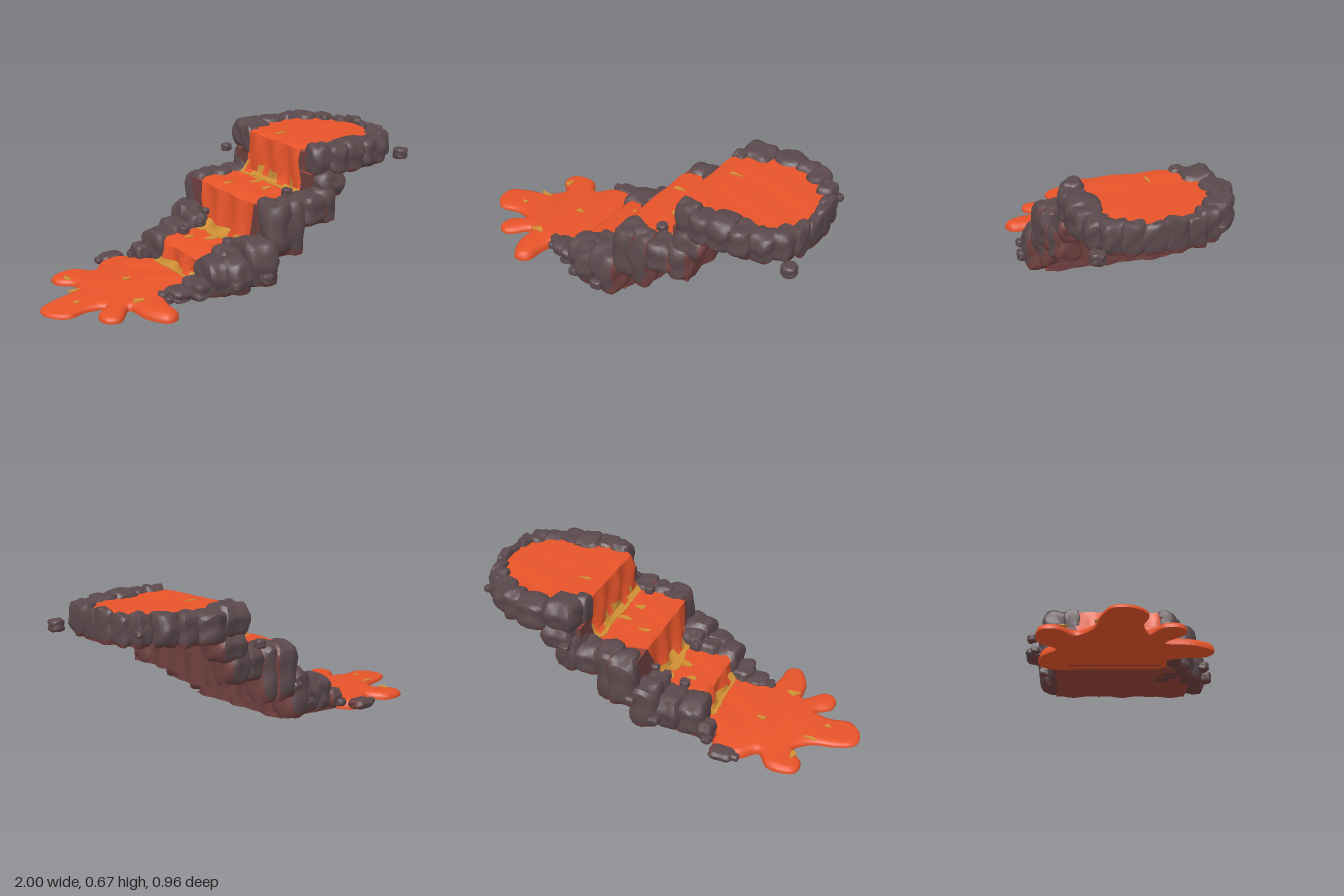
import * as THREE from 'three';
import { mergeVertices, toCreasedNormals } from 'three/addons/utils/BufferGeometryUtils.js';

const mat = (name, color, side = THREE.FrontSide) => {
  const m = new THREE.MeshStandardMaterial({ color, side });
  m.name = name;
  return m;
};

export function createModel() {
  const group = new THREE.Group();
  const lava = mat('lava orange', 0xe8542a);
  const hot = mat('hot yellow', 0xd09034, THREE.DoubleSide);
  const rock = mat('dark rock', 0x5b494c);
  const scorched = mat('scorched rock', 0x704040);
  const ember = mat('ember red', 0x984639);

  let seed = 7;
  const rand = () => (seed = (seed * 16807) % 2147483647) / 2147483647;
  const add = (name, geo, material) => {
    const mesh = new THREE.Mesh(geo, material);
    mesh.name = name;
    group.add(mesh);
    return mesh;
  };
  // Extrude a plan outline of (x, z) points between two heights
  const slab = (points, y0, y1) => {
    const geo = new THREE.ExtrudeGeometry(new THREE.Shape(points), { depth: y1 - y0, bevelEnabled: false });
    return geo.rotateX(Math.PI / 2).translate(0, y1, 0);
  };
  const v2 = (list) => list.map(([x, z]) => new THREE.Vector2(x, z));
  const smoothLoop = (list, n) => new THREE.SplineCurve(v2([...list, list[0]])).getPoints(n).slice(0, -1);

  // Stepped bed under the flow, each tier with a rippled back face and a glowing underside
  const tierPlan = (x0, x1, zn, zp) => {
    const pts = [[x0, zn]];
    for (let i = 0; i <= 24; i++) {
      const z = zn + (zp - zn) * i / 24;
      pts.push([x1 - 0.012 + 0.008 * Math.sin(z * 27 + x1 * 9) + 0.006 * Math.sin(z * 51), z]);
    }
    return v2([...pts, [x0, zp]]);
  };
  [[-0.22, 0.1, 0.038, 0.17, -0.29, 0.33], [0.05, 0.27, 0.155, 0.41, -0.34, 0.36],
    [0.22, 0.48, 0.28, 0.41, -0.34, 0.36], [0.35, 0.5, 0.405, 0.525, -0.33, 0.31]]
    .forEach(([x0, x1, y0, y1, zn, zp]) =>
      add('stepBed', slab(tierPlan(x0, x1, zn, zp), y0, y1), [ember, scorched]));

  // Thin apron ramping from the pool up to the lowest step
  const apron = slab(v2([[-0.4, -0.22], [-0.33, -0.28], [-0.1, -0.29], [0.085, -0.3], [0.085, 0.34], [-0.1, 0.35],
    [-0.33, 0.27], [-0.4, 0.2]]), 0, 0.045);
  const ap = apron.attributes.position;
  for (let i = 0; i < ap.count; i++) if (ap.getY(i) < 0.02) ap.setY(i, 0.001 + 0.08 * (ap.getX(i) + 0.4));
  apron.computeVertexNormals();
  add('footApron', apron, [ember, scorched]);

  // Rounded basin at the top
  const basin = smoothLoop([[0.36, -0.24], [0.45, -0.34], [0.62, -0.38], [0.78, -0.32], [0.89, -0.2], [0.945, -0.05],
    [0.945, 0.08], [0.89, 0.2], [0.78, 0.29], [0.6, 0.31], [0.45, 0.31], [0.36, 0.22]], 60);
  add('basinBed', slab(basin, 0.513, 0.625), [ember, scorched]);

  // Flowing lava: stations of x, y, zMin, zMax from the basin down the falls
  const stations = [
    [0.94, 0.635, -0.04, 0.07], [0.9, 0.637, -0.17, 0.17], [0.8, 0.64, -0.27, 0.25], [0.6, 0.64, -0.32, 0.28],
    [0.45, 0.64, -0.29, 0.28], [0.38, 0.648, -0.23, 0.25], [0.345, 0.638, -0.21, 0.23], [0.333, 0.58, -0.21, 0.24],
    [0.337, 0.48, -0.22, 0.25], [0.327, 0.44, -0.23, 0.26], [0.3, 0.42, -0.24, 0.27], [0.18, 0.42, -0.25, 0.28],
    [0.08, 0.428, -0.23, 0.26], [0.048, 0.412, -0.21, 0.25], [0.035, 0.33, -0.18, 0.24], [0.028, 0.23, -0.16, 0.23],
    [0.0, 0.195, -0.15, 0.22], [-0.1, 0.183, -0.15, 0.21], [-0.215, 0.183, -0.15, 0.21], [-0.245, 0.165, -0.16, 0.21],
    [-0.255, 0.09, -0.17, 0.21], [-0.275, 0.062, -0.19, 0.21], [-0.36, 0.055, -0.27, 0.23], [-0.44, 0.05, -0.3, 0.2]];
  const N = 48, pos = [], cool = [], glow = [];
  stations.forEach(([x, y, zn, zp], i) => {
    for (let j = 0; j <= N; j++) {
      const z = zn + (zp - zn) * j / N;
      const fall = [7, 8, 14, 15, 20].includes(i);
      pos.push(x + (fall ? 0.012 * Math.sin(z * 38 + i * 0.4) : 0), y + 0.003 * Math.sin(z * 30 + i * 2), z);
      if (i === stations.length - 1 || j === N) continue;
      // Broken hot line along the base of each fall
      const wave = Math.sin(z * 23 + i) + Math.sin(z * 47);
      const isHot = ([9, 15, 20].includes(i) && wave > -0.9) || (i === 8 && wave > 0.3);
      const a = i * (N + 1) + j, b = a + N + 1;
      (isHot ? glow : cool).push(a, b, a + 1, b, b + 1, a + 1);
    }
  });
  const flow = new THREE.BufferGeometry();
  flow.setAttribute('position', new THREE.Float32BufferAttribute(pos, 3));
  flow.setIndex([...cool, ...glow]);
  flow.addGroup(0, cool.length, 0);
  flow.addGroup(cool.length, glow.length, 1);
  add('lavaFlow', toCreasedNormals(flow, 0.7), [lava, hot]);

  // Splashed pool at the foot, with thin rounded edges
  const poolTop = (x) => 0.022 + 0.05 * (x + 1);
  const pool = new THREE.ExtrudeGeometry(new THREE.Shape(smoothLoop([[-0.35, -0.15], [-0.34, -0.29], [-0.4, -0.36],
    [-0.5, -0.34], [-0.575, -0.27], [-0.65, -0.35], [-0.77, -0.34], [-0.79, -0.26], [-0.72, -0.18], [-0.79, -0.1],
    [-0.9, -0.07], [-0.99, -0.02], [-0.99, 0.07], [-0.92, 0.135], [-0.82, 0.115], [-0.73, 0.14], [-0.8, 0.2],
    [-0.8, 0.28], [-0.73, 0.3], [-0.64, 0.21], [-0.62, 0.34], [-0.56, 0.435], [-0.49, 0.41], [-0.48, 0.32],
    [-0.45, 0.23], [-0.38, 0.23], [-0.35, 0.15]], 110)),
  { depth: 0.01, bevelThickness: 0.02, bevelSize: 0.03, bevelOffset: -0.03, bevelSegments: 3 });
  pool.rotateX(Math.PI / 2);
  const pp = pool.attributes.position;
  for (let i = 0; i < pp.count; i++) {
    const t = pp.getY(i) / 0.02;
    pp.setY(i, t < -0.25 ? 0.002 : 0.012 + Math.max(t, 0) * (poolTop(pp.getX(i)) - 0.012));
  }
  add('lavaPool', toCreasedNormals(pool, 0.8), lava);

  // Thin irregular glowing patches
  const patch = (x, z, y, rx, rz) => {
    const pts = [], k = 14, ph = rand() * 6;
    for (let i = 0; i < k; i++) {
      const a = i / k * Math.PI * 2, r = 0.9 + 0.2 * Math.sin(3 * a + ph) + 0.25 * (rand() - 0.5);
      pts.push([x + rx * r * Math.cos(a), z + rz * r * Math.sin(a)]);
    }
    add('glowPatch', slab(smoothLoop(pts, 48), y, y + 0.004), hot);
  };
  [[0.315, 0.02, 0.424, 0.025, 0.12], [0.315, 0.14, 0.424, 0.02, 0.07], [0.31, -0.16, 0.424, 0.03, 0.06],
    [0.265, -0.02, 0.424, 0.045, 0.016], [0.12, -0.08, 0.424, 0.035, 0.012], [0.23, 0.1, 0.424, 0.03, 0.018],
    [-0.005, 0.03, 0.199, 0.035, 0.12], [-0.005, 0.15, 0.199, 0.022, 0.05], [-0.05, 0.03, 0.192, 0.045, 0.025],
    [-0.02, -0.1, 0.197, 0.028, 0.04], [-0.275, 0.05, 0.064, 0.014, 0.12], [-0.28, -0.09, 0.064, 0.018, 0.06],
    [-0.13, -0.06, 0.187, 0.03, 0.014], [0.45, -0.07, 0.643, 0.035, 0.008]]
    .forEach((p) => patch(...p));
  [[-0.59, 0.21, 0.035, 0.022], [-0.78, -0.085, 0.035, 0.012], [-0.51, -0.05, 0.025, 0.014], [-0.74, -0.24, 0.014, 0.03],
    [-0.83, 0.04, 0.015, 0.012]]
    .forEach(([x, z, rx, rz]) => patch(x, z, poolTop(x) + 0.001, rx, rz));

  // Blocky boulder: a squared-off sphere with wavy lumps, scorched underneath and past backLimit on its back
  const boulder = (name, backLimit, x, z, y0, y1, rx, rz) => {
    let geo = new THREE.IcosahedronGeometry(1, 4);
    geo.deleteAttribute('normal');
    geo.deleteAttribute('uv');
    geo = mergeVertices(geo, 1e-4);
    const p = geo.attributes.position, v = new THREE.Vector3(), s = rand() * 20;
    for (let i = 0; i < p.count; i++) {
      v.fromBufferAttribute(p, i).normalize();
      const r = (Math.abs(v.x) ** 4 + Math.abs(v.y) ** 5 + Math.abs(v.z) ** 3.5) ** -0.25;
      const lump = 1 + 0.08 * Math.sin(v.x * 5 + s) * Math.cos(v.z * 4 + s * 2) + 0.06 * Math.sin(v.y * 6 + v.z * 5 + s);
      v.multiplyScalar(r * lump);
      p.setXYZ(i, v.x, THREE.MathUtils.clamp(v.y, -1, 1.04), v.z);
    }
    const grey = [], burnt = [], src = geo.index.array;
    for (let i = 0; i < src.length; i += 3) {
      const tri = [src[i], src[i + 1], src[i + 2]];
      const mean = (axis) => tri.reduce((sum, k) => sum + p.getComponent(k, axis), 0) / 3;
      (mean(1) < -0.74 || mean(0) > backLimit ? burnt : grey).push(...tri);
    }
    geo.setIndex([...grey, ...burnt]);
    geo.addGroup(0, grey.length, 0);
    geo.addGroup(grey.length, burnt.length, 1);
    geo.scale(rx, (y1 - y0) / 2, rz);
    add(name, toCreasedNormals(geo, 0.6), [rock, scorched]).position.set(x, (y0 + y1) / 2, z);
  };

  // Bank boulders, front side then back side
  [[-0.38, 0.24, 0.01, 0.07, 0.06, 0.06], [-0.29, 0.26, 0.01, 0.1, 0.06, 0.08], [-0.2, 0.27, 0.015, 0.195, 0.07, 0.1],
    [-0.12, 0.34, 0.025, 0.2, 0.07, 0.08], [-0.1, 0.23, 0.03, 0.22, 0.07, 0.07], [0.005, 0.34, 0.045, 0.27, 0.09, 0.1],
    [-0.01, 0.25, 0.05, 0.25, 0.06, 0.07], [0.12, 0.32, 0.16, 0.435, 0.075, 0.09], [0.2, 0.33, 0.155, 0.44, 0.07, 0.075],
    [0.32, 0.33, 0.285, 0.44, 0.08, 0.08], [0.41, 0.31, 0.28, 0.46, 0.07, 0.08], [0.46, 0.29, 0.4, 0.54, 0.085, 0.08],
    [-0.21, -0.21, 0.02, 0.195, 0.07, 0.1], [-0.3, -0.27, 0.02, 0.12, 0.04, 0.05], [-0.42, -0.37, 0.01, 0.06, 0.06, 0.045],
    [-0.1, -0.24, 0.03, 0.22, 0.07, 0.1], [0.0, -0.21, 0.05, 0.26, 0.06, 0.08], [0.015, -0.3, 0.045, 0.28, 0.08, 0.08],
    [0.12, -0.31, 0.16, 0.435, 0.075, 0.085], [0.205, -0.29, 0.155, 0.44, 0.065, 0.085], [0.32, -0.29, 0.285, 0.44, 0.08, 0.085],
    [0.41, -0.31, 0.28, 0.48, 0.07, 0.08], [0.46, -0.32, 0.4, 0.54, 0.085, 0.08]]
    .forEach((b) => boulder('bankBoulder', 0.72, ...b));

  // Rim stones around the upper basin
  [[0.42, 0.28, 0.055, 0.06], [0.51, 0.3, 0.06, 0.065], [0.61, 0.28, 0.07, 0.08], [0.71, 0.28, 0.06, 0.075],
    [0.8, 0.25, 0.06, 0.07], [0.875, 0.2, 0.05, 0.065], [0.915, 0.13, 0.035, 0.06], [0.93, 0.04, 0.027, 0.06],
    [0.93, -0.05, 0.027, 0.06], [0.905, -0.14, 0.033, 0.06], [0.86, -0.22, 0.045, 0.055], [0.78, -0.29, 0.055, 0.07],
    [0.7, -0.33, 0.055, 0.06], [0.59, -0.35, 0.08, 0.075], [0.44, -0.31, 0.085, 0.09], [0.375, -0.24, 0.035, 0.05]]
    .forEach(([x, z, rx, rz]) => boulder('rimStone', 2, x, z, 0.51, 0.65 + rand() * 0.02, rx, rz));

  // Loose chunks and pebbles
  [[0.96, 0.3, 0.54, 0.035], [0.37, -0.455, 0.49, 0.025], [-0.46, 0.22, 0.04, 0.025], [-0.45, 0.26, 0.03, 0.02],
    [-0.01, 0.44, 0.1, 0.03], [-0.17, 0.42, 0.09, 0.025], [-0.49, -0.37, 0.035, 0.02], [-0.32, -0.32, 0.05, 0.025],
    [-0.05, -0.35, 0.11, 0.03], [0.06, -0.38, 0.22, 0.025], [-0.05, 0.18, 0.21, 0.03], [-0.02, -0.13, 0.22, 0.025],
    [0.03, -0.15, 0.27, 0.02], [0.36, 0.21, 0.45, 0.03], [0.9, -0.27, 0.58, 0.02], [0.25, 0.25, 0.44, 0.025],
    [-0.12, -0.13, 0.2, 0.025]]
    .forEach(([x, z, y, r]) => boulder('looseChunk', 2, x, z, y - r * 0.8, y + r * 0.8, r, r));

  return group;
}
